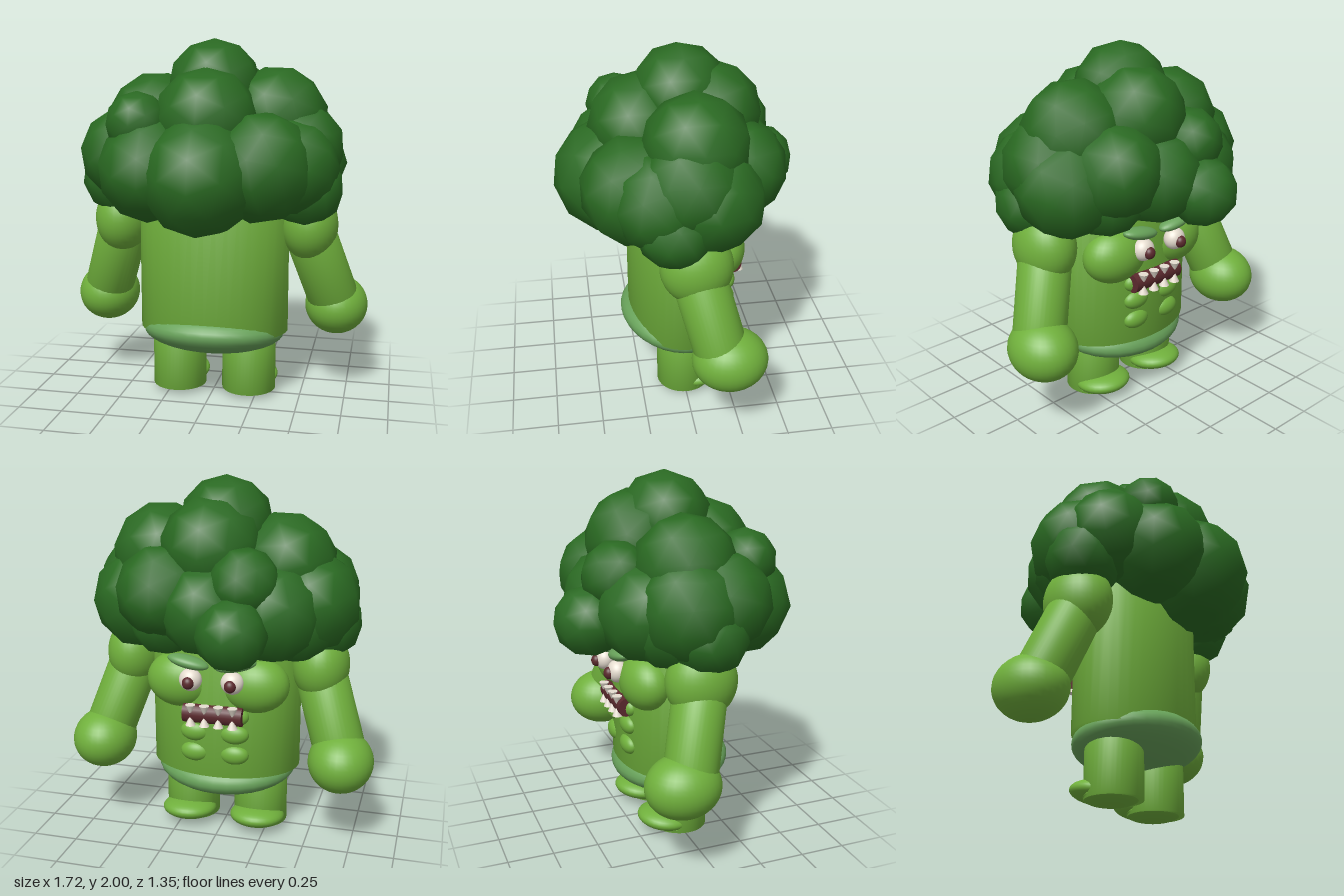
import * as THREE from 'three';
import { mergeVertices } from 'three/addons/utils/BufferGeometryUtils.js';

const mat = (name, color) => {
  const m = new THREE.MeshStandardMaterial({ color });
  m.name = name;
  return m;
};

// cylinder whose shading runs softly over its rims
function softCylinder(r, h) {
  const g = new THREE.CylinderGeometry(r, r, h, 40);
  g.deleteAttribute('normal');
  g.deleteAttribute('uv');
  const soft = mergeVertices(g);
  soft.computeVertexNormals();
  return soft;
}

export function createModel() {
  const stalk = mat('stalk green', 0x70b03c);
  const pale = mat('pale green', 0x68a25a);
  const floret = mat('floret green', 0x2a6a22);
  const ivory = mat('ivory', 0xe6ddd0);
  const maroon = mat('maroon', 0x5c2a2e);

  const model = new THREE.Group();
  const ball = new THREE.SphereGeometry(1, 32, 20);
  const lump = new THREE.IcosahedronGeometry(1, 1);

  function add(name, geometry, material, position, scale = [1, 1, 1], rotation = [0, 0, 0]) {
    const m = new THREE.Mesh(geometry, material);
    m.name = name;
    m.position.set(...position);
    m.scale.set(...scale);
    m.rotation.set(...rotation);
    model.add(m);
    return m;
  }

  // cylinder between two points
  function rod(name, a, b, r, material) {
    const p = new THREE.Vector3(...a), q = new THREE.Vector3(...b);
    const d = q.clone().sub(p);
    const m = add(name, softCylinder(r, d.length()), material,
      p.clone().add(q).multiplyScalar(0.5).toArray());
    m.quaternion.setFromUnitVectors(new THREE.Vector3(0, 1, 0), d.normalize());
  }

  // Trunk and hip bulge
  add('trunk', softCylinder(1, 0.87), stalk, [0, 0.815, 0], [0.424, 1, 0.292]);
  add('hips', ball, pale, [0, 0.367, 0.015], [0.402, 0.13, 0.327], [-0.15, 0, 0]);

  for (const s of [1, -1]) {
    const side = s > 0 ? 'left' : 'right';

    // Legs
    add(side + 'Leg', softCylinder(0.153, 0.36), stalk, [s * 0.203, 0.208, 0]);
    add(side + 'Sole', ball, stalk, [s * 0.203, 0.045, -0.015], [0.148, 0.045, 0.15]);
    add(side + 'Foot', ball, stalk, [s * 0.203, 0.078, -0.085], [0.156, 0.062, 0.156], [0.12, 0, 0]);

    // Arms
    add(side + 'Shoulder', ball, stalk, [s * 0.535, 0.993, -0.015], [0.157, 0.2, 0.192]);
    rod(side + 'Arm', [s * 0.535, 0.95, -0.02], [s * 0.68, 0.52, -0.135], 0.143, stalk);
    add(side + 'Hand', ball, stalk, [s * 0.683, 0.503, -0.172], [0.178, 0.168, 0.202]);

    // Chest and stomach muscles
    add(side + 'Pec', ball, stalk, [s * 0.205, 0.908, -0.195], [0.193, 0.157, 0.14]);
    for (const y of [0.74, 0.635, 0.515])
      add(side + 'Ab', ball, stalk, [s * 0.11, y, -0.262], [0.083, 0.057, 0.048]);

    // Eyes and slanted brows
    add(side + 'Eye', ball, ivory, [s * 0.115, 0.95, -0.325], [0.062, 0.062, 0.055]);
    add(side + 'Pupil', ball, maroon, [s * 0.115, 0.945, -0.372], [0.032, 0.034, 0.03]);
    add(side + 'Brow', ball, pale, [s * 0.13, 1.045, -0.315], [0.115, 0.034, 0.055], [0, 0, s * 0.2]);
  }

  // Mouth with two rows of pointed teeth
  add('mouth', new THREE.CylinderGeometry(1, 1, 0.33, 20), maroon, [0, 0.75, -0.295],
    [0.052, 1, 0.043], [0, 0, Math.PI / 2]);
  const tooth = new THREE.ConeGeometry(0.028, 0.06, 12);
  for (let i = 0; i < 4; i++) {
    const x = -0.117 + i * 0.078;
    add('upperTooth', tooth, ivory, [x, 0.778, -0.33], [1, 1, 1], [Math.PI, 0, 0]);
    add('lowerTooth', tooth, ivory, [x, 0.722, -0.33]);
  }

  // Crown: overlapping faceted lumps as x, y, z, radius, tilt about x, tilt about z
  const crown = [
    // front
    [0, 1.295, 0.36, 0.32, -0.4, 0], [0.3, 1.34, 0.26, 0.295, 0.3, 0.2],
    [-0.28, 1.32, 0.3, 0.285, -0.3, 0], [-0.35, 1.56, 0.3, 0.17, 0, 0],
    // sides
    [-0.45, 1.38, 0.13, 0.265, 0.3, 0.3], [-0.46, 1.35, -0.05, 0.285, 0, 0.3],
    [-0.54, 1.23, 0.02, 0.21, 0, -0.4], [-0.4, 1.27, -0.12, 0.24, 0, 0],
    [0.44, 1.41, 0, 0.28, 0, 0.4], [0.44, 1.33, 0.15, 0.265, 0.3, 0],
    [0.52, 1.21, 0.09, 0.205, 0, 0.4], [0.44, 1.33, -0.1, 0.285, 0, 0],
    // top
    [0, 1.74, -0.01, 0.26, 0, 0], [0, 1.57, 0.2, 0.285, 0, 0], [0.34, 1.57, -0.04, 0.285, 0, 0.25],
    [-0.33, 1.54, -0.02, 0.28, 0, 0.3], [0.04, 1.63, -0.16, 0.28, 0.5, 0],
    // rear
    [0.27, 1.41, -0.27, 0.26, 0.3, 0], [0.28, 1.26, -0.22, 0.21, 0, 0], [-0.15, 1.26, -0.485, 0.19, 0, 0],
    [-0.18, 1.49, -0.34, 0.19, 0.3, 0], [-0.3, 1.32, -0.22, 0.27, 0, 0], [0.03, 1.34, -0.32, 0.25, 0, 0],
  ];
  crown.forEach(([x, y, z, r, a, c], i) =>
    add('floret' + (i + 1), lump, floret, [x, y, z], [r, r, r], [a, 0, c]));
  add('crownCore', ball, floret, [0, 1.33, 0.02], [0.52, 0.28, 0.36]);

  return model;
}
